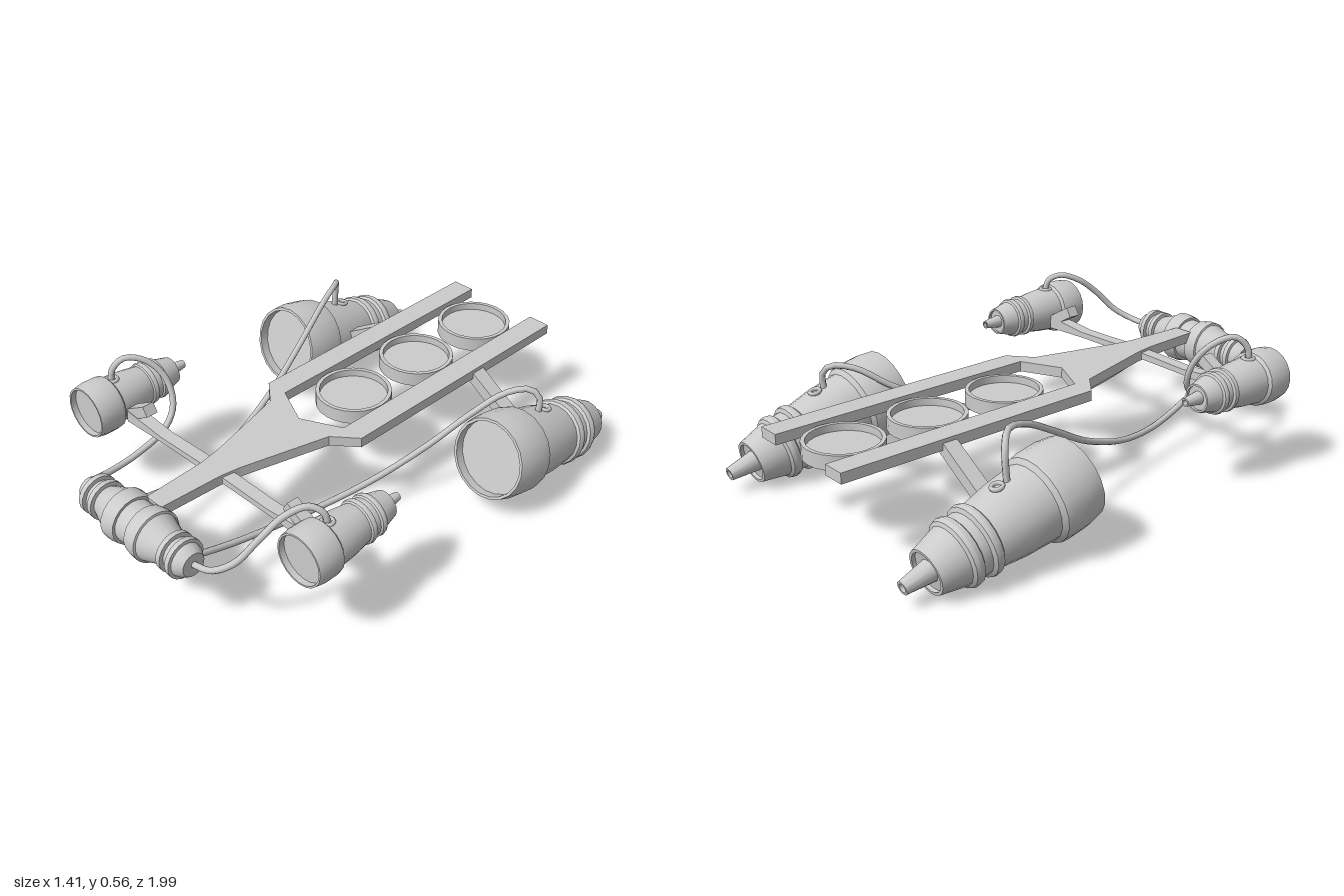
import * as THREE from 'three';
import { toCreasedNormals } from 'three/addons/utils/BufferGeometryUtils.js';

const material = new THREE.MeshStandardMaterial({ color: 0xcccccc });
const v2 = (p) => new THREE.Vector2(p[0], p[1]);

function part(name, geometry, parent) {
  const mesh = new THREE.Mesh(geometry, material);
  mesh.name = name;
  parent.add(mesh);
  return mesh;
}

function lathe(points, sides) {
  return toCreasedNormals(new THREE.LatheGeometry(points.map(v2), sides), 0.5);
}

function extrude(points, depth) {
  return new THREE.ExtrudeGeometry(new THREE.Shape(points.map(v2)), { depth, bevelEnabled: false });
}

// Engine profile, [radius, distance from the intake], for a length of 1; tip first
const ENGINE = [
  [0, 0.95], [0.022, 0.95], [0.022, 1], [0.034, 1], [0.055, 0.85], [0.1, 0.85], [0.1, 0.87], [0.115, 0.87],
  [0.15, 0.73], [0.168, 0.72], [0.175, 0.7], [0.17, 0.675], [0.156, 0.665], [0.158, 0.62],
  [0.178, 0.61], [0.182, 0.59], [0.176, 0.57], [0.163, 0.56], [0.185, 0.42], [0.198, 0.25],
  [0.222, 0.23], [0.228, 0.19], [0.228, 0.08], [0.215, 0], [0.2, 0], [0.2, 0.05], [0, 0.05],
];

function engine(name, length, position, tilt, portAt, parent) {
  const group = new THREE.Group();
  group.name = name;
  group.position.set(...position);
  group.rotation.x = tilt;
  const body = lathe(ENGINE.map(([r, t]) => [r * length, -t * length]), 20);
  part('engineBody', body.rotateX(Math.PI / 2), group);
  // hose socket on top of the body
  const socket = part('hoseSocket', new THREE.TorusGeometry(0.02, 0.008, 6, 14), group);
  socket.rotation.x = Math.PI / 2;
  socket.position.set(0, 0.19 * length, -portAt * length);
  parent.add(group);
}

function hose(name, points, parent) {
  const curve = new THREE.CatmullRomCurve3(points.map((p) => new THREE.Vector3(...p)));
  part(name, new THREE.TubeGeometry(curve, 48, 0.012, 8), parent);
}

export function createModel() {
  const model = new THREE.Group();
  model.name = 'quadEngineCraft';

  // Forked flat chassis
  const outer = [[0.245, -1], [0.245, 0.08], [0.155, 0.155], [0.065, 0.5], [0.052, 0.58], [0.04, 0.83]];
  const inner = [[-0.155, -1], [-0.155, 0.08], [0, 0.155], [0.155, 0.08], [0.155, -1]];
  const mirrored = outer.map(([x, z]) => [-x, z]).reverse();
  const chassis = part('chassis', extrude([...outer, ...mirrored, ...inner], 0.04), model);
  chassis.rotation.x = Math.PI / 2;
  chassis.position.y = 0.35;

  // Three lift rings between the fork prongs, each with a recessed disc
  for (const z of [-0.83, -0.48, -0.13]) {
    const ring = part('liftRing', lathe([
      [0, 0.302], [0.13, 0.302], [0.13, 0.285], [0.145, 0.285],
      [0.145, 0.34], [0.13, 0.34], [0.13, 0.312], [0, 0.312],
    ], 24), model);
    ring.position.z = z;
  }

  // Front power unit lying across the nose
  const half = [
    [0.082, 0], [0.082, 0.03], [0.092, 0.03], [0.098, 0.06], [0.098, 0.088], [0.09, 0.09], [0.068, 0.155],
    [0.06, 0.175], [0.075, 0.176], [0.075, 0.195], [0.06, 0.196], [0.06, 0.22], [0.075, 0.221],
    [0.075, 0.24], [0.063, 0.241], [0.06, 0.255], [0.045, 0.28], [0, 0.28],
  ];
  const fullProfile = [...half.slice(1).reverse().map(([r, x]) => [r, -x]), ...half];
  const unit = part('powerUnit', lathe(fullProfile, 20), model);
  unit.rotation.z = -Math.PI / 2;
  unit.position.set(0, 0.288, 0.895);

  // Front crossbar, widening towards the engines
  const barTop = [[0.04, 0.34], [0.28, 0.334], [0.48, 0.352]];
  const barBottom = [[0.48, 0.304], [0.28, 0.312], [0.04, 0.314]];
  const rightHalf = [...barTop, ...barBottom];
  const bar = [...rightHalf, ...rightHalf.map(([x, y]) => [-x, y]).reverse()];
  part('frontCrossbar', extrude(bar, 0.05), model).position.z = 0.523;

  for (const side of [1, -1]) {
    const label = side > 0 ? 'left' : 'right';
    engine(label + 'FrontEngine', 0.46, [side * 0.563, 0.36, 0.695], 0, 0.28, model);
    engine(label + 'RearEngine', 0.725, [side * 0.54, 0.222, -0.28], -0.225, 0.42, model);

    // Slanted bracket above the crossbar
    const bracket = part(label + 'FrontBracket', new THREE.BoxGeometry(0.13, 0.042, 0.048), model);
    bracket.position.set(side * 0.425, 0.366, 0.547);
    bracket.rotation.z = side * -0.53;

    // Strut dropping from the prong to the rear engine
    const strut = part(label + 'RearStrut', new THREE.BoxGeometry(0.25, 0.045, 0.06), model);
    strut.position.set(side * 0.33, 0.255, -0.567);
    strut.rotation.z = side * -0.56;
  }

  // Hoses from the power unit to each engine
  hose('rightFrontHose', [
    [-0.565, 0.43, 0.57], [-0.562, 0.49, 0.56], [-0.535, 0.533, 0.52], [-0.49, 0.51, 0.455],
    [-0.44, 0.44, 0.413], [-0.4, 0.34, 0.42], [-0.385, 0.27, 0.48], [-0.383, 0.225, 0.62],
    [-0.37, 0.225, 0.76], [-0.335, 0.26, 0.86], [-0.27, 0.288, 0.895],
  ], model);
  hose('leftFrontHose', [
    [0.565, 0.43, 0.565], [0.555, 0.485, 0.575], [0.52, 0.51, 0.61], [0.48, 0.485, 0.68],
    [0.45, 0.42, 0.76], [0.41, 0.34, 0.83], [0.35, 0.3, 0.88], [0.27, 0.288, 0.895],
  ], model);
  hose('rightRearHose', [
    [-0.195, 0.24, 0.87], [-0.2, 0.19, 0.72], [-0.235, 0.133, 0.5], [-0.26, 0.12, 0.37],
    [-0.3, 0.14, 0.19], [-0.35, 0.22, -0.04], [-0.39, 0.32, -0.22], [-0.44, 0.415, -0.4],
    [-0.48, 0.44, -0.51], [-0.53, 0.4, -0.565], [-0.54, 0.28, -0.565],
  ], model);
  hose('leftRearHose', [
    [0.19, 0.24, 0.87], [0.185, 0.17, 0.65], [0.19, 0.122, 0.4], [0.215, 0.11, 0.18],
    [0.26, 0.14, 0], [0.32, 0.21, -0.2], [0.38, 0.3, -0.37], [0.45, 0.375, -0.48],
    [0.51, 0.385, -0.55], [0.54, 0.35, -0.57], [0.54, 0.28, -0.565],
  ], model);

  return model;
}
